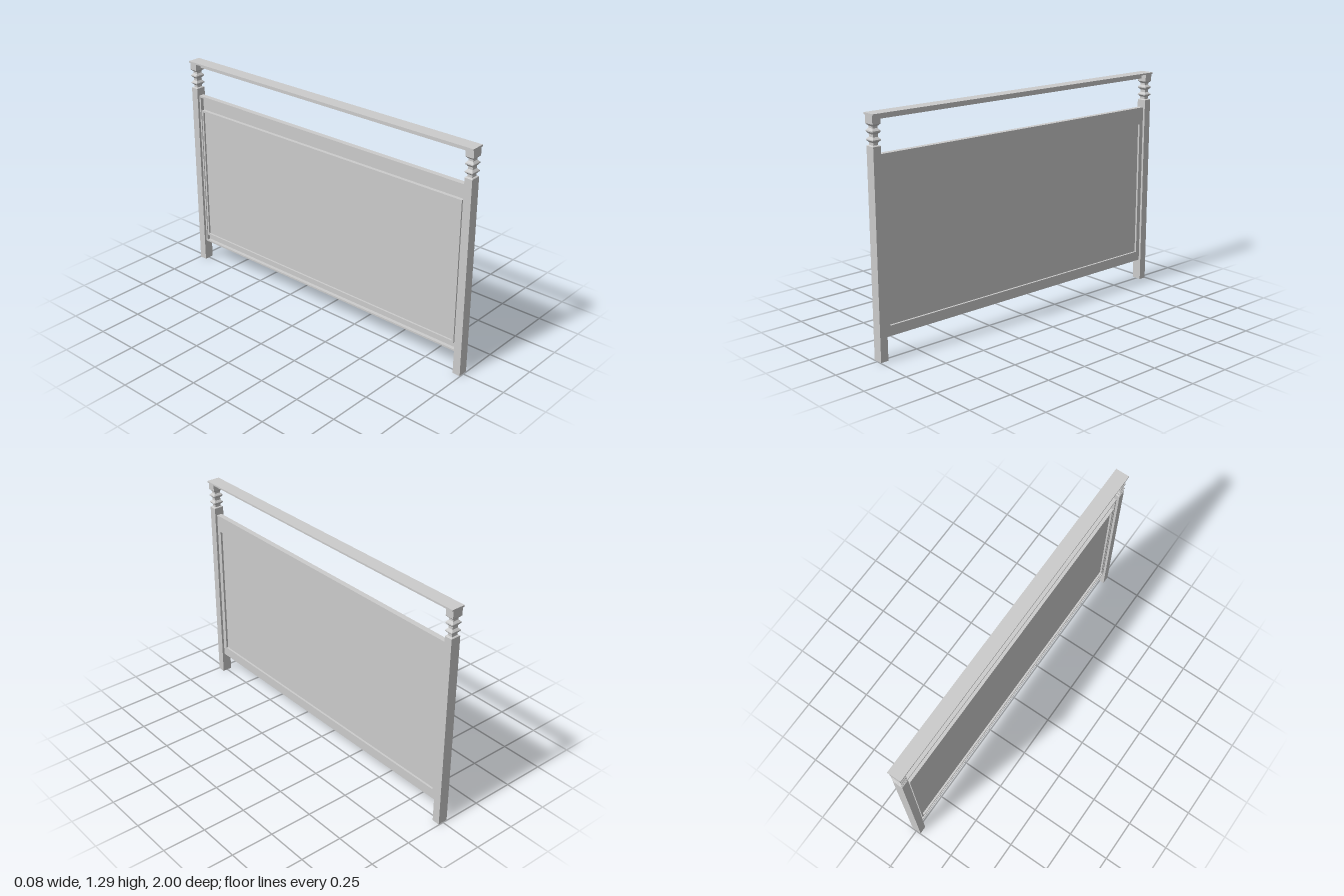
import * as THREE from 'three';

const mat = new THREE.MeshStandardMaterial({ color: 0xcccccc, flatShading: true, side: THREE.DoubleSide });

function add(parent, name, geometry, x = 0, y = 0, z = 0) {
  const mesh = new THREE.Mesh(geometry, mat);
  mesh.name = name;
  mesh.position.set(x, y, z);
  parent.add(mesh);
  return mesh;
}

// Rectangular frame in the z-y plane, from x0 to x1; rectangles are [halfWidth, bottom, top]
function frame(outer, inner, x0, x1) {
  const corners = ([w, b, t]) => [[-w, b], [w, b], [w, t], [-w, t]].map(p => new THREE.Vector2(...p));
  const shape = new THREE.Shape(corners(outer));
  shape.holes.push(new THREE.Path(corners(inner).reverse()));
  return new THREE.ExtrudeGeometry(shape, { depth: x1 - x0, bevelEnabled: false })
    .rotateY(Math.PI / 2).translate(x0, 0, 0);
}

const inset = ([w, b, t], d) => [w - d, b + d, t - d];

export function createModel() {
  const group = new THREE.Group();
  group.name = 'headboard';

  // Square posts, open underneath, with a four-sided turned neck and a block on top
  const profile = [
    [0.029, 0], [0.029, 1.128], [0.026, 1.131], [0.018, 1.133], [0.018, 1.146],
    [0.03, 1.157], [0.03, 1.162], [0.018, 1.174], [0.018, 1.188],
    [0.03, 1.2], [0.03, 1.206], [0.018, 1.218], [0.018, 1.228],
    [0.027, 1.236], [0.031, 1.24], [0.031, 1.285], [0, 1.285],
  ].map(([r, y]) => new THREE.Vector2(r * Math.SQRT2, y));
  for (const side of [1, -1]) {
    const post = add(group, side > 0 ? 'frontPost' : 'backPost',
      new THREE.LatheGeometry(profile, 4, Math.PI / 4), 0, 0, side * 0.974);
    post.scale.z = 0.78;
  }

  // Thin cap board with a narrow rail beneath
  add(group, 'capBoard', new THREE.BoxGeometry(0.08, 0.009, 2), 0, 1.288, 0);
  add(group, 'capRail', new THREE.BoxGeometry(0.018, 0.026, 1.888), 0, 1.272, 0.007);

  // Panel: face frame, rims hollow at the back, and a recessed field
  const outer = [0.951, 0.125, 1.085];
  const field = [0.924, 0.182, 0.985];
  add(group, 'panelFaceFrame', frame(outer, field, 0.006, 0.016));
  add(group, 'panelOuterRim', frame(outer, inset(outer, 0.01), -0.015, 0.006));
  add(group, 'panelInnerRim', frame(inset(field, -0.011), field, -0.015, 0.006));
  const [w, b, t] = field;
  add(group, 'panelField', new THREE.BoxGeometry(0.008, t - b, 2 * w), 0, (b + t) / 2, 0);

  return group;
}
